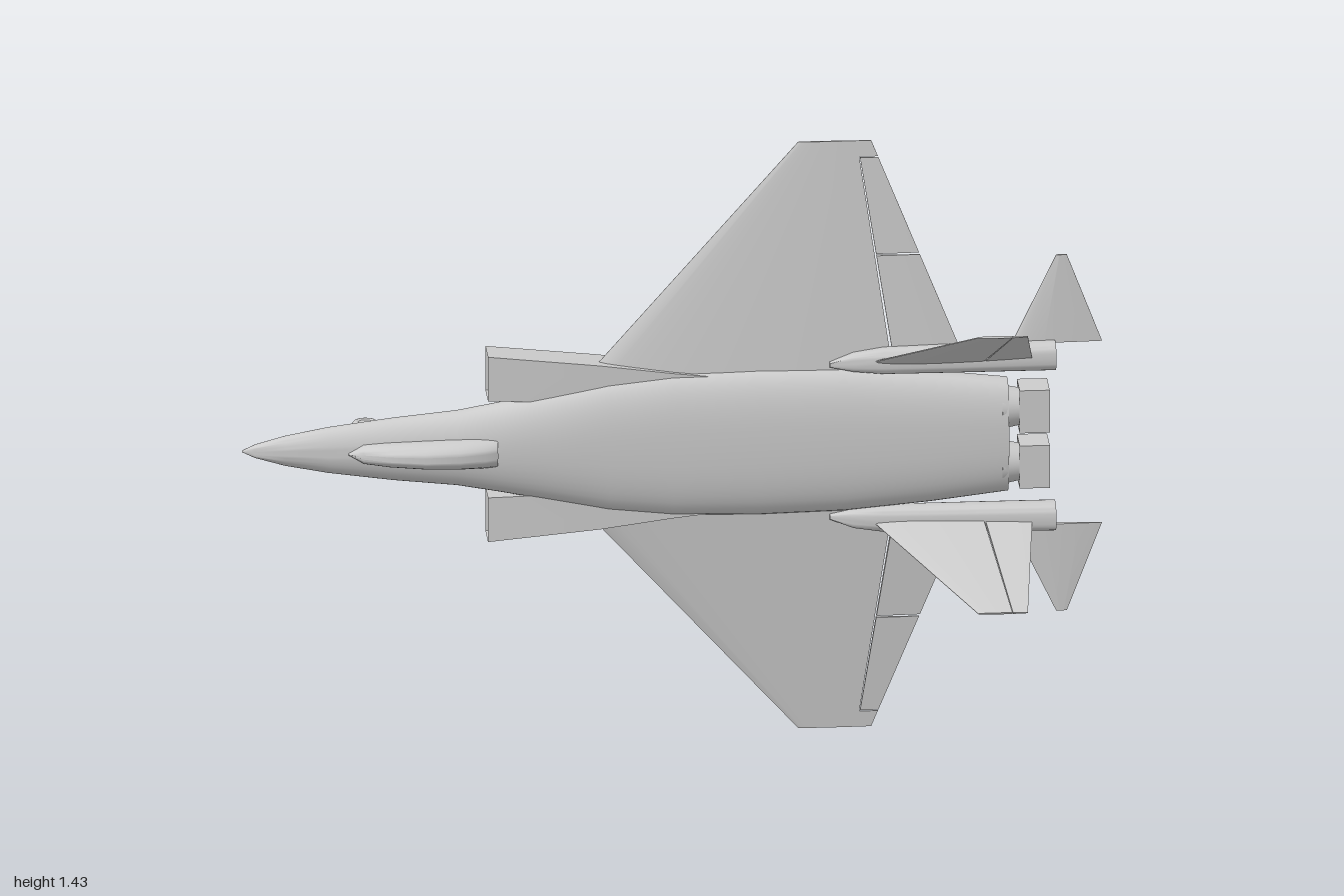
import * as THREE from 'three';
import { toCreasedNormals } from 'three/addons/utils/BufferGeometryUtils.js';

const mat = new THREE.MeshStandardMaterial({ color: 0xcccccc });
const openMat = new THREE.MeshStandardMaterial({ color: 0xcccccc, side: THREE.DoubleSide });
const CENTRE = 0.7165; // height of the aircraft's centre line
const lerp = THREE.MathUtils.lerp;

// Skin a list of closed rings, with flat caps where asked.
function loft(rings, crease, capStart = true, capEnd = true) {
  const n = rings[0].length, pos = [], idx = [];
  rings.forEach(r => r.forEach(p => pos.push(...p)));
  for (let i = 0; i < rings.length - 1; i++)
    for (let j = 0; j < n; j++) {
      const a = i * n + j, b = i * n + (j + 1) % n, c = a + n, d = b + n;
      idx.push(a, b, c, b, d, c);
    }
  const cap = (ring, flip) => {
    const o = pos.length / 3;
    ring.forEach(p => pos.push(...p));
    pos.push(...[0, 1, 2].map(k => ring.reduce((s, p) => s + p[k], 0) / n));
    for (let j = 0; j < n; j++) {
      const a = o + j, b = o + (j + 1) % n;
      idx.push(o + n, flip ? b : a, flip ? a : b);
    }
  };
  if (capStart) cap(rings[0], true);
  if (capEnd) cap(rings[rings.length - 1], false);
  const g = new THREE.BufferGeometry();
  g.setAttribute('position', new THREE.Float32BufferAttribute(pos, 3));
  g.setIndex(idx);
  return toCreasedNormals(g, crease);
}

// Superellipse ring across the x axis.
function oval(x, y, hw, zTop, zBot, power = 2, n = 40) {
  const f = v => Math.sign(v) * Math.abs(v) ** (2 / power);
  return Array.from({ length: n }, (_, j) => {
    const t = j / n * Math.PI * 2;
    return [x, y + hw * f(Math.cos(t)), (zTop + zBot) / 2 + (zTop - zBot) / 2 * f(Math.sin(t))];
  });
}

// Aerofoil piece: span fractions s0..s1 and chord fractions u0..u1 of a planform.
// A planform end is { x0, x1, y, z, t }: leading and trailing x, place and thickness.
function foil([root, tip], s0, s1, u0, u1) {
  const L = Math.hypot(tip.y - root.y, tip.z - root.z);
  const ny = -(tip.z - root.z) / L, nz = (tip.y - root.y) / L;
  const ring = s => {
    const q = {};
    for (const k in root) q[k] = lerp(root[k], tip[k], s);
    const point = (u, side) => {
      const h = side * (q.t * 1.3 * Math.sqrt(u) * (1 - u) + 0.0008);
      return [lerp(q.x0, q.x1, u), q.y + ny * h, q.z + nz * h];
    };
    const us = Array.from({ length: 13 }, (_, i) => lerp(u0, u1, (i / 12) ** 1.5));
    return [...us.map(u => point(u, 1)), ...us.reverse().map(u => point(u, -1))];
  };
  return loft([ring(s0), ring(s1)], 0.5);
}

// Reflect in y and turn the faces back outwards.
function mirror(geo) {
  const g = geo.index ? geo.toNonIndexed() : geo.clone();
  g.scale(1, -1, 1);
  for (const key of ['position', 'normal']) {
    const a = g.attributes[key];
    for (let i = 0; i < a.count; i += 3) {
      const p = [a.getX(i), a.getY(i), a.getZ(i)];
      a.setXYZ(i, a.getX(i + 1), a.getY(i + 1), a.getZ(i + 1));
      a.setXYZ(i + 1, ...p);
      if (key === 'normal') for (const k of [i, i + 1, i + 2]) a.setY(k, a.getY(k));
    }
  }
  return g;
}

export function createModel() {
  const model = new THREE.Group();
  model.name = 'fighterJet';
  const body = new THREE.Group();
  body.name = 'airframe';
  body.position.y = CENTRE;
  model.add(body);
  const add = (name, geo, m = mat) => {
    const mesh = new THREE.Mesh(geo, m);
    mesh.name = name;
    body.add(mesh);
  };
  const pair = (name, geo, m) => {
    add(name + 'Upper', geo, m);
    add(name + 'Lower', mirror(geo), m);
  };

  // Fuselage: x, half width, top, bottom, squareness
  const hull = [
    [-1, 0.002, -0.048, -0.052, 2], [-0.97, 0.016, -0.035, -0.063, 2], [-0.9, 0.036, -0.024, -0.07, 2],
    [-0.8, 0.055, -0.013, -0.078, 2], [-0.65, 0.075, 0, -0.086, 2], [-0.5, 0.09, 0.01, -0.092, 2.1],
    [-0.4, 0.108, 0.015, -0.095, 2.2], [-0.28, 0.132, 0.018, -0.098, 2.3], [-0.15, 0.158, 0.02, -0.1, 2.5],
    [0, 0.174, 0.021, -0.104, 2.6], [0.2, 0.178, 0.021, -0.108, 2.6], [0.4, 0.174, 0.018, -0.11, 2.6],
    [0.6, 0.157, 0.014, -0.11, 2.6], [0.78, 0.136, 0.009, -0.108, 2.6]];
  add('fuselage', loft(hull.map(([x, w, a, b, p]) => oval(x, 0, w, a, b, p)), 0.8));

  // Canopy
  const glass = [[-0.755, 0.004, -0.005], [-0.72, 0.023, 0.018], [-0.66, 0.028, 0.041], [-0.58, 0.032, 0.056],
    [-0.5, 0.035, 0.054], [-0.44, 0.036, 0.042], [-0.41, 0.036, 0.031]];
  add('canopy', loft(glass.map(([x, w, a]) => oval(x, 0, w, a, -0.045, 2, 28)), 0.8));

  // Open air intakes blending back into the fuselage
  const duct = [[-0.43, 0.118, 0.226, -0.02, -0.103], [-0.17, 0.11, 0.2, -0.015, -0.1],
    [0, 0.1, 0.177, -0.015, -0.095], [0.25, 0.09, 0.15, -0.015, -0.09]];
  pair('intake', loft(duct.map(([x, y0, y1, a, b]) =>
    [[x, y1, b], [x, y1, a], [x, y0, a], [x, y0, b]]), 0.3, false), openMat);

  // Wings with separate flaps and ailerons
  const wing = [{ x0: -0.215, x1: 0.695, y: 0.15, z: -0.042, t: 0.038 },
    { x0: 0.295, x1: 0.465, y: 0.7165, z: -0.075, t: 0.005 }];
  pair('wing', foil(wing, 0, 1, 0, 0.802));
  pair('flap', foil(wing, 0.08, 0.512, 0.809, 1));
  pair('aileron', foil(wing, 0.52, 0.928, 0.809, 1));
  pair('wingTip', foil(wing, 0.932, 1, 0.8, 1));

  // Tail booms
  const boom = [[0.365, 0.186, 0.006, -0.02, -0.035], [0.42, 0.191, 0.022, -0.008, -0.05],
    [0.49, 0.193, 0.03, 0, -0.06], [0.65, 0.194, 0.031, 0.003, -0.064], [0.89, 0.196, 0.033, 0.003, -0.066]];
  pair('tailBoom', loft(boom.map(([x, y, w, a, b]) => oval(x, y, w, a, b, 3.2, 28)), 0.8));

  // Canted fins with rudders
  const fin = [{ x0: 0.45, x1: 0.837, y: 0.186, z: -0.027, t: 0.016 },
    { x0: 0.69, x1: 0.805, y: 0.338, z: 0.255, t: 0.004 }];
  pair('fin', foil(fin, 0, 1, 0, 0.69));
  pair('rudder', foil(fin, 0.1, 1, 0.7, 1));

  // Horizontal stabilisers
  pair('stabiliser', foil([{ x0: 0.79, x1: 1, y: 0.222, z: -0.048, t: 0.012 },
    { x0: 0.893, x1: 0.918, y: 0.435, z: -0.048, t: 0.003 }], 0, 1, 0, 1));

  // Engines: round throat, square vectoring duct and centre cone
  const ey = 0.0675, ez = -0.045;
  const frame = new THREE.Shape([[-1, -1], [1, -1], [1, 1], [-1, 1]].map(([a, b]) =>
    new THREE.Vector2(a * 0.044, b * 0.052)));
  frame.holes.push(new THREE.Path([[-1, -1], [-1, 1], [1, 1], [1, -1]].map(([a, b]) =>
    new THREE.Vector2(a * 0.04, b * 0.048))));
  pair('nozzleDuct', new THREE.ExtrudeGeometry(frame, { depth: 0.07, bevelEnabled: false })
    .rotateY(Math.PI / 2).translate(0.805, ey, ez));
  pair('nozzleThroat', new THREE.CylinderGeometry(0.042, 0.052, 0.05, 28)
    .rotateZ(-Math.PI / 2).translate(0.79, ey, ez));
  pair('exhaustCone', new THREE.ConeGeometry(0.026, 0.045, 24)
    .rotateZ(-Math.PI / 2).translate(0.837, ey, ez));

  // Landing gear: strut, axle, tyre and hub
  const gear = (put, name, x, strutY, wheelY, r, w, z) => {
    const top = -0.08;
    put(name + 'Strut', new THREE.CylinderGeometry(0.006, 0.006, top - z, 12)
      .rotateX(Math.PI / 2).translate(x, strutY, (top + z) / 2));
    put(name + 'Axle', new THREE.CylinderGeometry(0.006, 0.006, Math.abs(wheelY - strutY) + 0.01, 12)
      .translate(x, (wheelY + strutY) / 2, z));
    put(name + 'Tyre', new THREE.TorusGeometry(r - w / 2, w / 2, 12, 32)
      .rotateX(Math.PI / 2).translate(x, wheelY, z));
    put(name + 'Hub', new THREE.CylinderGeometry(r - w / 2, r - w / 2, w * 0.7, 28)
      .translate(x, wheelY, z));
  };
  gear(add, 'noseGear', -0.7, 0, 0, 0.031, 0.018, -0.224);
  gear(pair, 'mainGear', 0.15, 0.148, 0.168, 0.043, 0.028, -0.211);

  return model;
}
